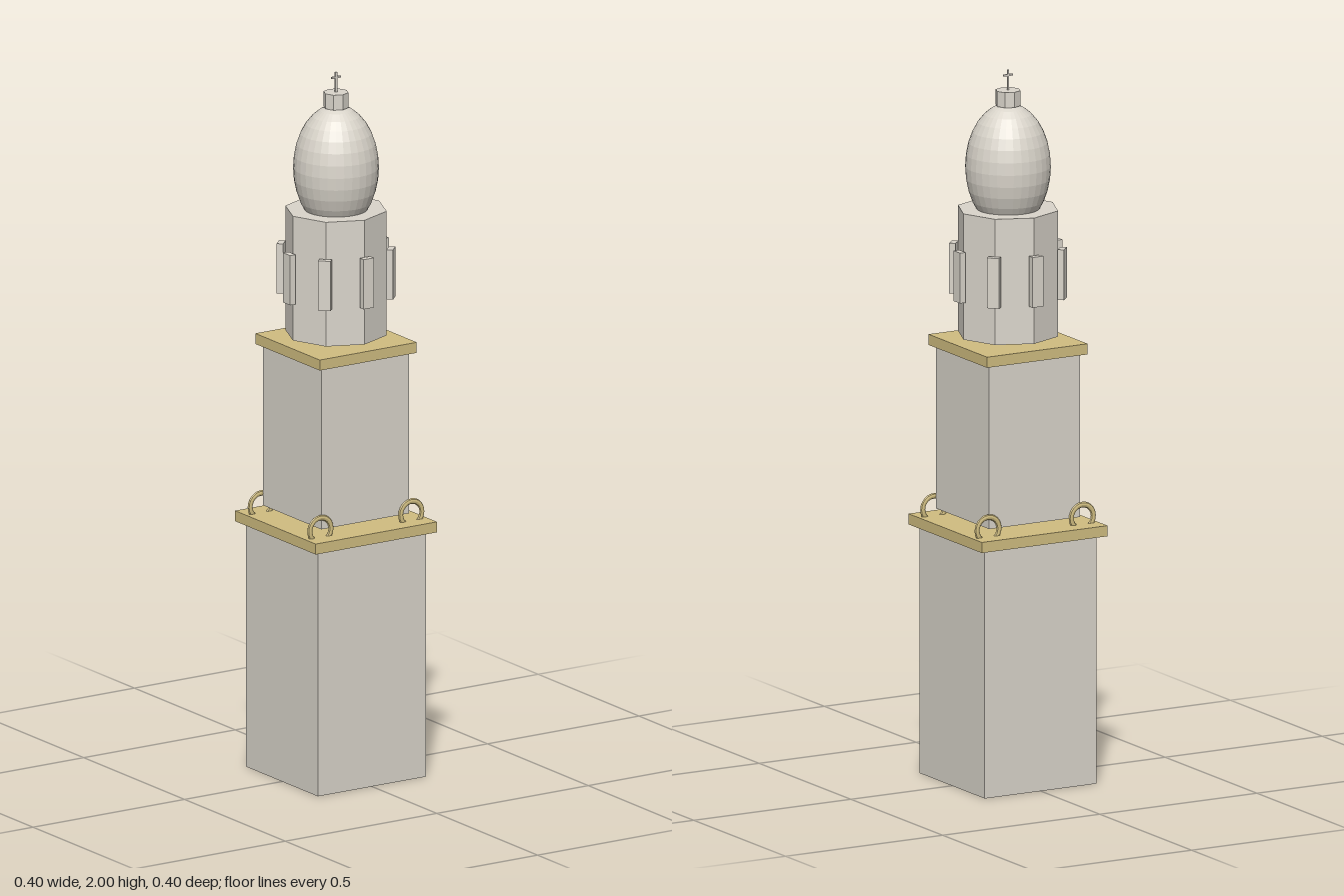
import * as THREE from 'three';

export function createModel() {
  const tower = new THREE.Group();
  tower.name = 'bellTower';
  const stone = new THREE.MeshStandardMaterial({ color: 0xdad5cb, flatShading: true });
  const gold = new THREE.MeshStandardMaterial({ color: 0xd0bd80, flatShading: true });

  const add = (name, geometry, material, x = 0, y = 0, z = 0) => {
    const mesh = new THREE.Mesh(geometry, material);
    mesh.name = name;
    mesh.position.set(x, y, z);
    tower.add(mesh);
    return mesh;
  };
  // Square block standing between two heights
  const block = (name, width, y0, y1, material) =>
    add(name, new THREE.BoxGeometry(width, y1 - y0, width), material, 0, (y0 + y1) / 2, 0);
  // Octagonal prism with corners on the axes
  const octagon = (name, radius, y0, y1) =>
    add(name, new THREE.CylinderGeometry(radius, radius, y1 - y0, 8), stone, 0, (y0 + y1) / 2, 0);

  // Square shaft stages and their cornices
  block('lowerShaft', 0.356, 0, 0.7, stone);
  block('lowerCornice', 0.4, 0.7, 0.73, gold);
  block('middleShaft', 0.29, 0.75, 1.21, stone);
  block('upperCornice', 0.32, 1.21, 1.24, gold);

  // Scroll rings at the four corners of the lower cornice
  const ring = new THREE.TorusGeometry(0.035, 0.008, 8, 24).scale(1, 1, 0.65);
  for (const x of [-0.15, 0.15]) {
    for (const z of [-0.148, 0.148]) add('cornerScroll', ring, gold, x, 0.75, z);
  }

  // Octagonal belfry with a window panel facing each corner
  octagon('belfry', 0.142, 1.255, 1.61);
  const panel = new THREE.BoxGeometry(0.035, 0.142, 0.018);
  for (let i = 0; i < 8; i++) {
    const a = (i * Math.PI) / 4;
    add('belfryWindow', panel, stone, 0.154 * Math.sin(a), 1.434, 0.154 * Math.cos(a)).rotation.y = a;
  }

  // Tall dome, lantern and cross
  add('dome', new THREE.SphereGeometry(0.118, 32, 16).scale(1, 1.5, 1), stone, 0, 1.728, 0);
  octagon('lantern', 0.035, 1.9, 1.943);
  add('crossPost', new THREE.BoxGeometry(0.005, 0.058, 0.005), stone, 0, 1.971, 0);
  add('crossArm', new THREE.BoxGeometry(0.03, 0.005, 0.005), stone, 0, 1.985, 0);

  return tower;
}
